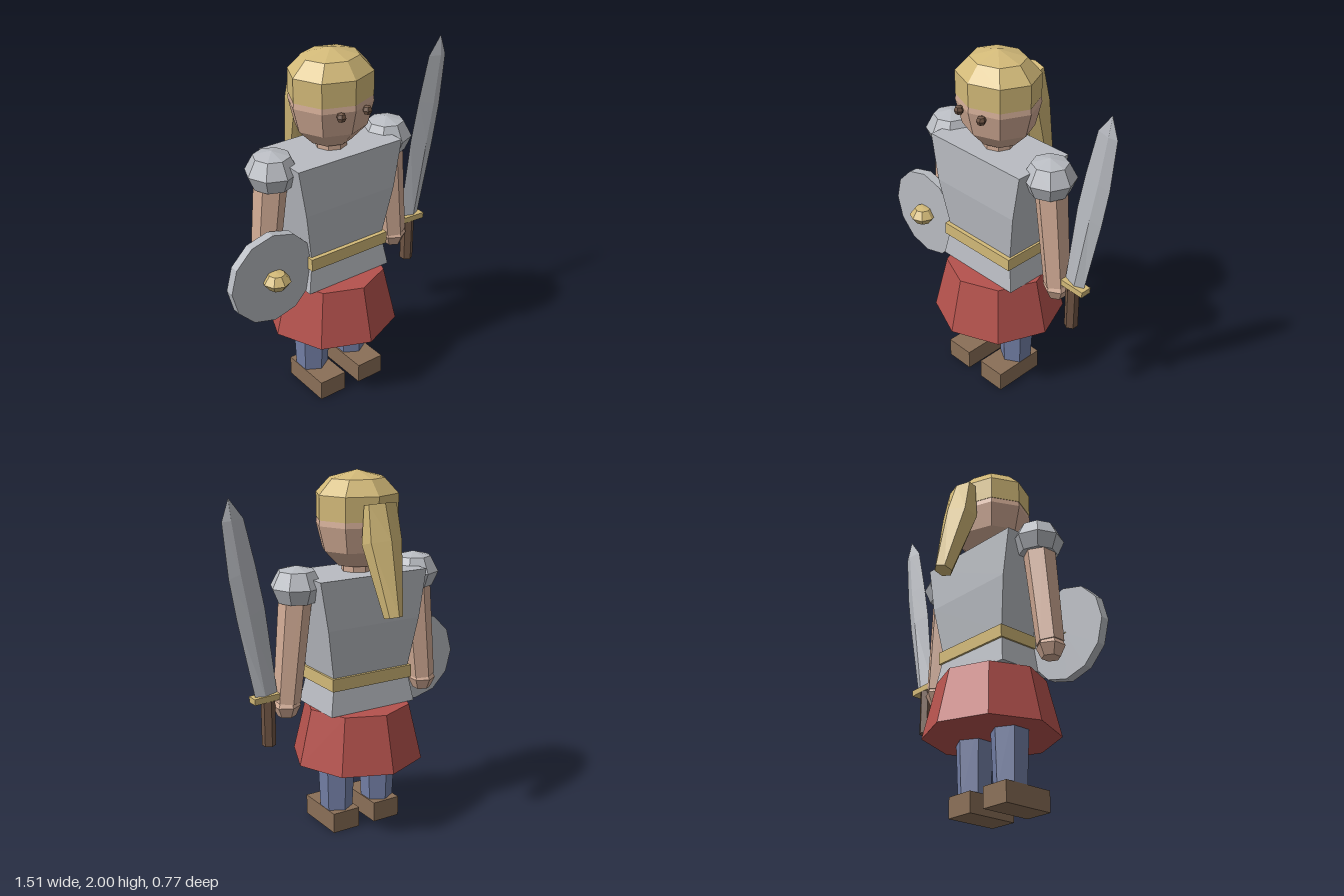
import * as THREE from 'three';

const mat = (name, color) => {
  const m = new THREE.MeshStandardMaterial({ color, flatShading: true });
  m.name = name;
  return m;
};

// Skins a list of rings (bottom to top, each running from +z towards +x) and caps both ends
function loft(rings) {
  const n = rings[0].length, pos = rings.flat(2), idx = [];
  for (let r = 0; r < rings.length - 1; r++) {
    for (let i = 0; i < n; i++) {
      const a = r * n + i, b = r * n + (i + 1) % n;
      idx.push(a, b, a + n, b, b + n, a + n);
    }
  }
  const top = (rings.length - 1) * n;
  for (let i = 1; i < n - 1; i++) idx.push(0, i + 1, i, top, top + i, top + i + 1);
  const g = new THREE.BufferGeometry();
  g.setAttribute('position', new THREE.Float32BufferAttribute(pos, 3));
  g.setIndex(idx);
  const flat = g.toNonIndexed();
  flat.computeVertexNormals();
  return flat;
}

const lathe = (profile, sides = 8) =>
  new THREE.LatheGeometry(profile.map(([r, y]) => new THREE.Vector2(r, y)), sides);

export function createModel() {
  const model = new THREE.Group();
  model.name = 'warrior';
  const steel = mat('steel', 0xb9bcc2);
  const gold = mat('gold', 0xd2b978);
  const skin = mat('skin', 0xd0aa94);
  const red = mat('red cloth', 0xb5524d);
  const blue = mat('blue cloth', 0x737fa6);
  const leather = mat('leather', 0x8a6f57);
  const dark = mat('dark brown', 0x6e5443);

  const add = (name, geo, material, x = 0, y = 0, z = 0) => {
    const mesh = new THREE.Mesh(geo, material);
    mesh.name = name;
    mesh.position.set(x, y, z);
    model.add(mesh);
    return mesh;
  };
  const cx = -0.033, cz = 0.015;

  // Head, neck and helmet
  add('head', lathe([[0, 1.49], [0.115, 1.5], [0.2, 1.585], [0.235, 1.72], [0.225, 1.78], [0, 1.78]]),
    skin, cx, 0, cz).scale.z = 0.9;
  add('neck', new THREE.CylinderGeometry(0.085, 0.085, 0.12, 8), skin, cx, 1.48, cz);
  add('helmet', lathe([[0, 1.75], [0.233, 1.75], [0.233, 1.88], [0.155, 1.96], [0, 2]]),
    gold, cx, 0, cz).scale.z = 0.9;
  for (const s of [-1, 1]) {
    add('eye', new THREE.SphereGeometry(0.027, 6, 4), dark, cx + s * 0.082, 1.703, 0.213);
  }

  // Plume hanging behind the helmet: [y, z, half width, half depth]
  const plume = [[1.275, -0.335, 0.042, 0.052], [1.65, -0.222, 0.095, 0.088], [1.845, -0.205, 0.085, 0.045]];
  add('plume', loft(plume.map(([y, z, w, d]) =>
    [[0, 1], [1, 0.5], [1, -0.5], [0, -1], [-1, -0.5], [-1, 0.5]].map(([u, v]) =>
      [cx + u * w, y - v * d * 0.25, z + v * d]))), gold);

  // Torso: [y, half width, front z, back z]
  const torso = [[0.72, 0.268, 0.187, -0.155], [0.9, 0.235, 0.162, -0.128],
    [1.2, 0.288, 0.195, -0.163], [1.465, 0.333, 0.195, -0.163]];
  add('breastplate', loft(torso.map(([y, w, f, b]) =>
    [[cx + w, y, f], [cx + w, y, b], [cx - w, y, b], [cx - w, y, f]])), steel);
  add('belt', new THREE.BoxGeometry(0.505, 0.07, 0.336), gold, cx, 0.893, 0.021);
  add('skirt', new THREE.CylinderGeometry(0.295, 0.37, 0.315, 8), red, cx, 0.563, cz);

  // Paired limbs
  for (const s of [-1, 1]) {
    add('leg', new THREE.CylinderGeometry(0.108, 0.09, 0.42, 6), blue, cx + s * 0.137, 0.3, cz);
    add('boot', new THREE.BoxGeometry(0.168, 0.115, 0.305), leather, cx + s * 0.134, 0.0575, 0.063);
    add('arm', new THREE.CylinderGeometry(0.09, 0.074, 0.63, 6), skin, cx + s * 0.41, 1.11, cz)
      .rotation.z = s * 0.109;
    add('hand', lathe([[0, -0.052], [0.05, -0.048], [0.078, 0.012], [0.062, 0.04], [0, 0.04]], 6),
      skin, cx + s * 0.447, 0.766, cz);
    add('shoulderGuard', lathe([[0, 1.34], [0.108, 1.34], [0.143, 1.42], [0.098, 1.505], [0, 1.53]]),
      steel, cx + s * 0.372, 0, cz);
  }

  // Shield on the right arm
  const disc = new THREE.CylinderGeometry(0.257, 0.257, 0.05, 12).rotateX(Math.PI / 2);
  add('shield', disc, steel, -0.5, 0.877, 0.125);
  add('shieldBoss', lathe([[0, -0.05], [0.045, -0.043], [0.077, 0], [0.045, 0.043], [0, 0.05]]),
    gold, -0.5, 0.877, 0.173);

  // Sword by the left hand; blade sections: [left x, right x, y at left, y at right, half thickness]
  const blade = [[0.47, 0.6, 0.855, 0.85, 0.024], [0.53, 0.69, 1.33, 1.28, 0.022],
    [0.575, 0.728, 1.55, 1.5, 0.02], [0.635, 0.755, 1.8, 1.79, 0.015], [0.714, 0.716, 1.905, 1.905, 0.001]];
  add('blade', loft(blade.map(([l, r, yl, yr, t]) => {
    const m = l + (r - l) * 0.62, y = (yl + yr) / 2;
    return [[m, y, 0.012 + t], [r, yr, 0.012], [m, y, 0.012 - t], [l, yl, 0.012]];
  })), steel);
  add('guard', new THREE.BoxGeometry(0.15, 0.034, 0.066), gold, 0.543, 0.842, cz).rotation.z = -0.05;
  add('grip', new THREE.CylinderGeometry(0.038, 0.038, 0.255, 6), dark, 0.525, 0.7, cz);

  return model;
}
